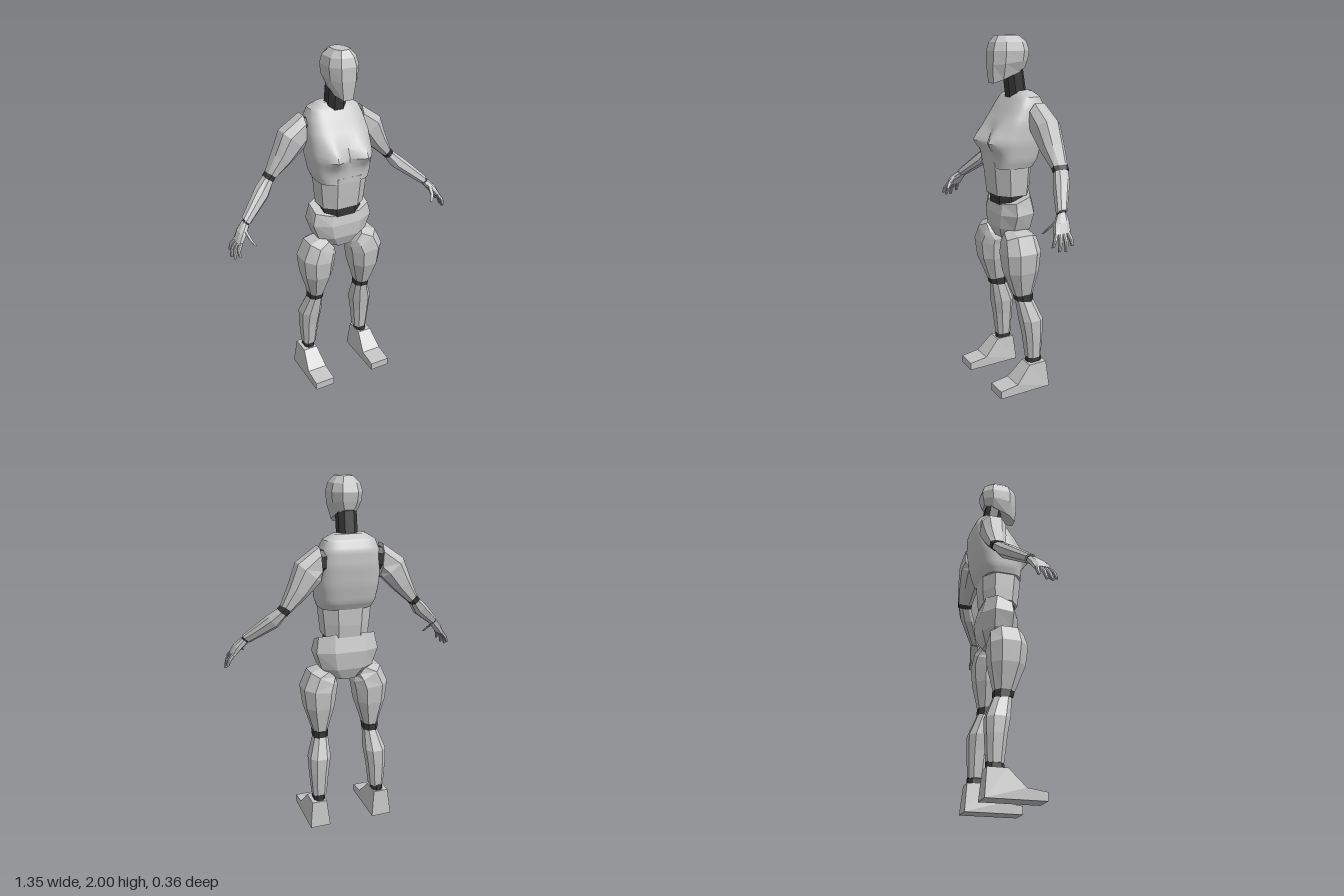
import * as THREE from 'three';
import { toCreasedNormals } from 'three/addons/utils/BufferGeometryUtils.js';

const shell = new THREE.MeshStandardMaterial({ color: 0xc4c4c4 });
shell.name = 'shell grey';
const joint = new THREE.MeshStandardMaterial({ color: 0x363636 });
joint.name = 'joint dark grey';

// Chamfered box outline shared by the body segments
const K = 0.5;
const OCTAGON = [[1, -K], [1, K], [K, 1], [-K, 1], [-1, K], [-1, -K], [-K, -1], [K, -1]];

// Ring: [x, y, z, half width, half depth, roll of the width axis, tilt of the depth axis]
function ringPoints([x, y, z, hu, hv, roll = 0, tilt = 0], side) {
  return OCTAGON.map(([u, v]) => new THREE.Vector3(
    side * (x + u * hu * Math.cos(roll)),
    y + u * hu * Math.sin(roll) + v * hv * Math.sin(tilt),
    z + v * hv * Math.cos(tilt)));
}

// Skin a list of point loops, cap both ends and turn the faces outward
function skin(loops, crease) {
  const tris = [];
  const n = loops[0].length;
  for (let i = 0; i < loops.length - 1; i++) {
    for (let j = 0; j < n; j++) {
      const k = (j + 1) % n;
      const a = loops[i][j], b = loops[i][k], c = loops[i + 1][k], d = loops[i + 1][j];
      tris.push([a, d, c], [a, c, b]);
    }
  }
  for (const [loop, flip] of [[loops[0], false], [loops[loops.length - 1], true]]) {
    const mid = loop.reduce((s, p) => s.add(p), new THREE.Vector3()).divideScalar(n);
    loop.forEach((p, j) => {
      const q = loop[(j + 1) % n];
      tris.push(flip ? [mid, q, p] : [mid, p, q]);
    });
  }
  const origin = tris[0][0];
  let volume = 0;
  for (const t of tris) {
    const [a, b, c] = t.map(p => p.clone().sub(origin));
    volume += a.dot(b.cross(c));
  }
  if (volume < 0) tris.forEach(t => t.reverse());
  const geometry = new THREE.BufferGeometry().setFromPoints(tris.flat());
  geometry.computeVertexNormals();
  return crease ? toCreasedNormals(geometry, crease) : geometry;
}

function addMesh(parent, name, geometry, material) {
  const mesh = new THREE.Mesh(geometry, material);
  mesh.name = name;
  parent.add(mesh);
  return mesh;
}

function addLoft(parent, name, material, rings, side = 1) {
  return addMesh(parent, name, skin(rings.map(r => ringPoints(r, side))), material);
}

// Chest: rounded rows [y, half width, front z, back z] with a smooth bust
function chestGeometry() {
  const rows = [
    [1.30, 0.148, 0.115, -0.115], [1.34, 0.163, 0.115, -0.14], [1.44, 0.178, 0.115, -0.165],
    [1.55, 0.174, 0.075, -0.18], [1.63, 0.16, 0.025, -0.178], [1.68, 0.14, -0.01, -0.155],
    [1.71, 0.09, -0.045, -0.12],
  ];
  const loops = [];
  const sides = 40, steps = 4;
  const power = v => Math.sign(v) * Math.abs(v) ** 0.6;
  const addLoop = ([y, w, front, back]) => {
    const loop = [];
    for (let j = 0; j < sides; j++) {
      const a = (j / sides) * Math.PI * 2;
      const x = w * power(Math.cos(a));
      const depth = power(Math.sin(a));
      let z = (front + back) / 2 + depth * (front - back) / 2;
      if (depth > 0) {
        const dx = (Math.abs(x) - 0.088) / 0.055;
        const dy = (y - 1.445) / (y > 1.445 ? 0.075 : 0.05);
        z += 0.055 * depth * Math.exp(-dx * dx - dy * dy);
      }
      loop.push(new THREE.Vector3(x, y, z));
    }
    loops.push(loop);
  };
  for (let i = 0; i < rows.length - 1; i++) {
    for (let s = 0; s < steps; s++) {
      addLoop(rows[i].map((v, k) => THREE.MathUtils.lerp(v, rows[i + 1][k], s / steps)));
    }
  }
  addLoop(rows[rows.length - 1]);
  return skin(loops, 0.6);
}

// Foot: side profile extruded across, narrowed toward the ankle
function footGeometry() {
  const profile = [[-0.145, 0], [0.178, 0], [0.178, 0.045], [0.07, 0.06], [-0.02, 0.155], [-0.13, 0.155]];
  const shape = new THREE.Shape(profile.map(([z, y]) => new THREE.Vector2(z, y)));
  const g = new THREE.ExtrudeGeometry(shape, { depth: 0.12, bevelEnabled: false });
  g.rotateY(-Math.PI / 2).translate(0.06, 0, 0);
  const p = g.attributes.position;
  for (let i = 0; i < p.count; i++) if (p.getY(i) > 0.1) p.setX(i, p.getX(i) * 0.72);
  g.computeVertexNormals();
  return g;
}

function addLeg(parent, side) {
  const leg = new THREE.Group();
  leg.name = side > 0 ? 'leftLeg' : 'rightLeg';
  parent.add(leg);
  addLoft(leg, 'hipJoint', joint, [[0.085, 0.95, -0.01, 0.035, 0.05, 0.9], [0.115, 0.9, -0.01, 0.035, 0.05, 0.9]], side);
  addLoft(leg, 'thigh', shell, [
    [0.09, 0.92, 0, 0.05, 0.075, 0.9], [0.13, 0.89, 0, 0.09, 0.095, 0.5],
    [0.155, 0.825, 0, 0.097, 0.106, 0.12], [0.155, 0.72, -0.003, 0.083, 0.096],
    [0.155, 0.575, -0.017, 0.042, 0.055],
  ], side);
  addLoft(leg, 'knee', joint, [[0.155, 0.582, -0.018, 0.043, 0.057, 0, 0.15], [0.155, 0.535, -0.023, 0.042, 0.053, 0, 0.15]], side);
  addLoft(leg, 'shin', shell, [
    [0.153, 0.545, -0.025, 0.038, 0.047], [0.172, 0.42, -0.06, 0.061, 0.064],
    [0.178, 0.33, -0.068, 0.053, 0.055], [0.18, 0.183, -0.074, 0.04, 0.043],
  ], side);
  addLoft(leg, 'ankle', joint, [[0.184, 0.19, -0.075, 0.032, 0.044], [0.184, 0.15, -0.075, 0.032, 0.046]], side);
  addMesh(leg, 'foot', footGeometry(), shell).position.x = 0.193 * side;
}

function addArm(parent, side) {
  const arm = new THREE.Group();
  arm.name = side > 0 ? 'leftArm' : 'rightArm';
  parent.add(arm);
  addLoft(arm, 'shoulderJoint', joint, [[0.13, 1.575, -0.1, 0.06, 0.05, 1.5], [0.185, 1.57, -0.1, 0.06, 0.05, 1.5]], side);
  addLoft(arm, 'upperArm', shell, [
    [0.172, 1.57, -0.1, 0.082, 0.06, 1.5], [0.235, 1.52, -0.105, 0.078, 0.07, 0.7],
    [0.295, 1.425, -0.11, 0.054, 0.06, 0.6], [0.363, 1.335, -0.113, 0.029, 0.042, 0.68],
  ], side);
  addLoft(arm, 'elbow', joint, [[0.36, 1.34, -0.113, 0.028, 0.044, 0.68], [0.382, 1.315, -0.11, 0.028, 0.042, 0.68]], side);
  addLoft(arm, 'forearm', shell, [
    [0.375, 1.323, -0.11, 0.025, 0.039, 0.7], [0.43, 1.262, -0.08, 0.038, 0.044, 0.8],
    [0.56, 1.155, 0.002, 0.025, 0.028, 0.8],
  ], side);
  addLoft(arm, 'wrist', joint, [[0.553, 1.16, 0, 0.018, 0.022, 0.8], [0.574, 1.14, 0.012, 0.017, 0.022, 0.8]], side);

  // Palm, then each digit as [base, knuckle, tip]
  addLoft(arm, 'palm', shell, [
    [0.565, 1.148, 0.008, 0.02, 0.026, 0.7], [0.6, 1.11, 0.03, 0.021, 0.042, 0.5],
    [0.629, 1.067, 0.043, 0.014, 0.045, 0.4],
  ], side);
  const digits = {
    thumb: [[0.585, 1.125, 0.045], [0.575, 1.09, 0.088], [0.557, 1.06, 0.112]],
    indexFinger: [[0.622, 1.075, 0.075], [0.642, 1.045, 0.093], [0.645, 1.012, 0.106]],
    middleFinger: [[0.627, 1.07, 0.054], [0.652, 1.035, 0.066], [0.662, 0.992, 0.08]],
    ringFinger: [[0.629, 1.07, 0.033], [0.657, 1.035, 0.038], [0.67, 0.99, 0.045]],
    littleFinger: [[0.625, 1.078, 0.012], [0.65, 1.045, 0.006], [0.664, 1.012, 0.006]],
  };
  for (const [name, points] of Object.entries(digits)) {
    addLoft(arm, name, shell, points.map((p, i) => {
      const r = [0.011, 0.01, 0.007][i];
      return [...p, r, r, 0.3];
    }), side);
  }
}

export function createModel() {
  const model = new THREE.Group();
  model.name = 'jointedFigure';

  addLoft(model, 'head', shell, [
    [0, 1.79, 0, 0.055, 0.105, 0, -0.38], [0, 1.86, -0.002, 0.08, 0.107, 0, -0.12],
    [0, 1.92, -0.006, 0.086, 0.109], [0, 1.965, -0.006, 0.074, 0.095], [0, 2, 0, 0.042, 0.062],
  ]);
  addLoft(model, 'neck', joint, [[0, 1.66, -0.06, 0.052, 0.053], [0, 1.83, -0.035, 0.052, 0.05]]);
  addMesh(model, 'chest', chestGeometry(), shell);
  addLoft(model, 'abdomen', shell, [
    [0, 1.14, -0.005, 0.125, 0.1], [0, 1.21, -0.005, 0.132, 0.108], [0, 1.33, 0, 0.143, 0.115],
  ]);
  addLoft(model, 'waist', joint, [[0, 1.1, -0.01, 0.115, 0.088, 0, -0.2], [0, 1.145, -0.01, 0.115, 0.09]]);
  addLoft(model, 'pelvis', shell, [
    [0, 0.888, -0.015, 0.072, 0.07], [0, 0.955, -0.015, 0.15, 0.1],
    [0, 1.045, -0.018, 0.182, 0.106, 0, -0.1], [0, 1.125, -0.012, 0.165, 0.092, 0, -0.35],
  ]);
  for (const side of [1, -1]) {
    addArm(model, side);
    addLeg(model, side);
  }
  return model;
}
